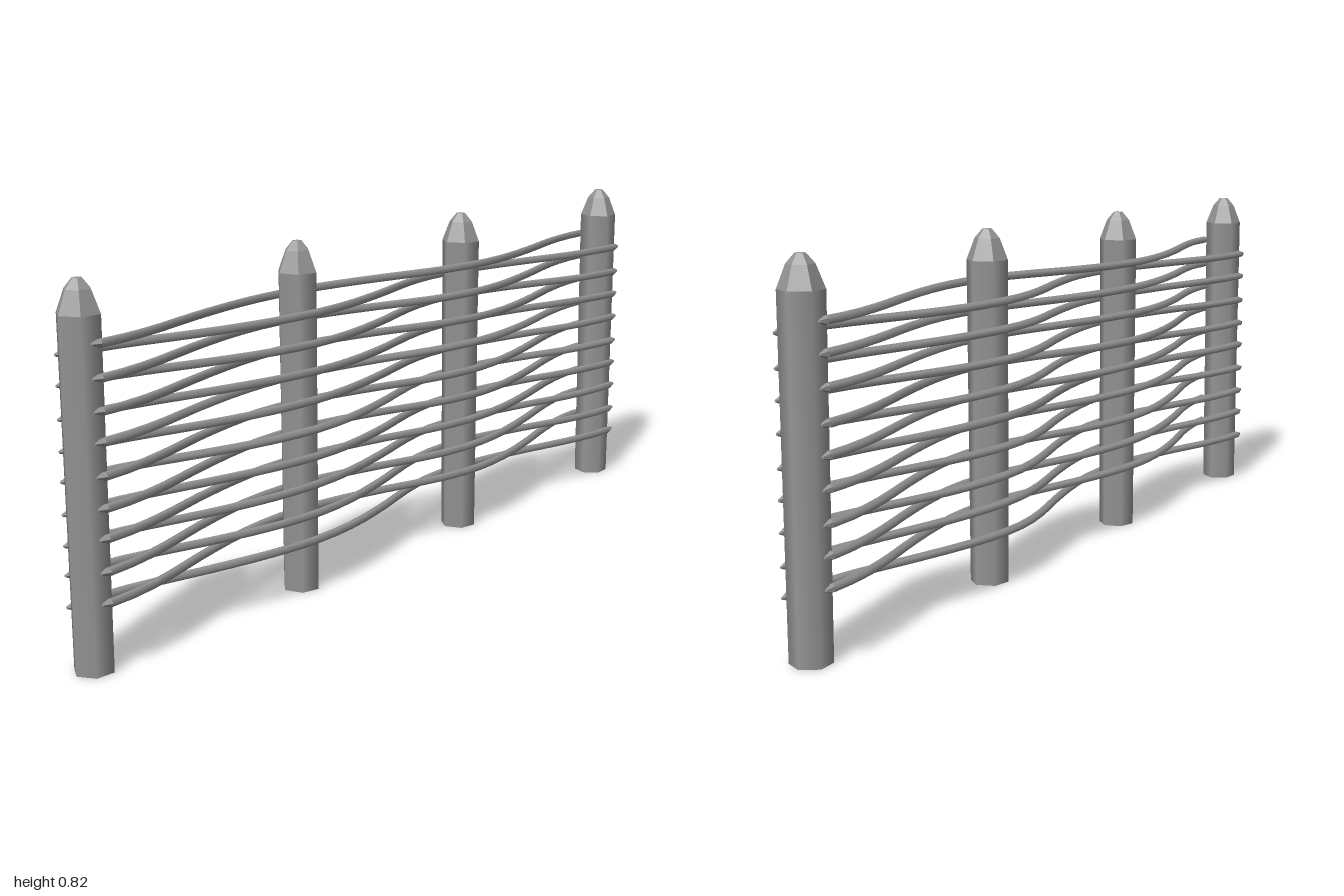
import * as THREE from 'three';

// x and turn (degrees) of each post
const POSTS = [[-0.952, 85], [-0.315, 15], [0.3, 20], [0.952, 95]];
// x of every post (even) and every crossing between posts (odd)
const KNOTS = [-0.95, -0.66, -0.315, 0.015, 0.3, 0.64, 0.95];
const ROWS = 18, TOP = 0.695, STEP = 0.0333, SWING = 0.056, RADIUS = 0.01;

const mat = new THREE.MeshStandardMaterial({ color: 0x969696 });
const flat = new THREE.MeshStandardMaterial({ color: 0x969696, flatShading: true });

function mesh(geometry, material, name) {
  const m = new THREE.Mesh(geometry, material);
  m.name = name;
  return m;
}

// Six-sided stake with a hewn, faceted point
function makePost([x, turn]) {
  const post = new THREE.Group();
  post.name = 'post';
  const shaft = mesh(new THREE.CylinderGeometry(0.048, 0.045, 0.75, 6), mat, 'postShaft');
  shaft.position.y = 0.375;
  const profile = [[0.048, 0.75], [0.029, 0.799], [0.011, 0.82], [0, 0.82]]
    .map(([r, y]) => new THREE.Vector2(r, y));
  const tip = mesh(new THREE.LatheGeometry(profile, 6), flat, 'postTip');
  post.add(shaft, tip);
  post.position.x = x;
  post.rotation.y = THREE.MathUtils.degToRad(turn);
  return post;
}

// Branch that weaves in front of one post and behind the next
class WeaveCurve extends THREE.Curve {
  constructor(y, side, row) {
    super();
    Object.assign(this, { y, side, row });
  }
  getPoint(t, target = new THREE.Vector3()) {
    const k = t * (KNOTS.length - 1);
    const i = Math.min(Math.floor(k), KNOTS.length - 2);
    const x = THREE.MathUtils.lerp(KNOTS[i], KNOTS[i + 1], k - i);
    const sag = 0.002 * Math.sin(x * 5 + this.row * 2.1);
    return target.set(x, this.y + sag, this.side * SWING * Math.cos(k * Math.PI / 2));
  }
}

function makeBranch(row) {
  const branch = new THREE.Group();
  branch.name = 'branch';
  const curve = new WeaveCurve(TOP - row * STEP, row % 2 ? -1 : 1, row);
  branch.add(mesh(new THREE.TubeGeometry(curve, 30, RADIUS, 5), mat, 'branchRod'));
  // Cut ends
  for (const end of [0, 1]) {
    const cut = mesh(new THREE.CylinderGeometry(0.003, RADIUS, 0.02, 5), flat, 'branchEnd');
    const dir = end ? 1 : -1;
    cut.rotation.z = -dir * Math.PI / 2;
    cut.position.copy(curve.getPoint(end));
    cut.position.x += dir * 0.01;
    branch.add(cut);
  }
  return branch;
}

export function createModel() {
  const fence = new THREE.Group();
  fence.name = 'wattleFence';
  for (const spec of POSTS) fence.add(makePost(spec));
  for (let row = 0; row < ROWS; row++) fence.add(makeBranch(row));
  return fence;
}
